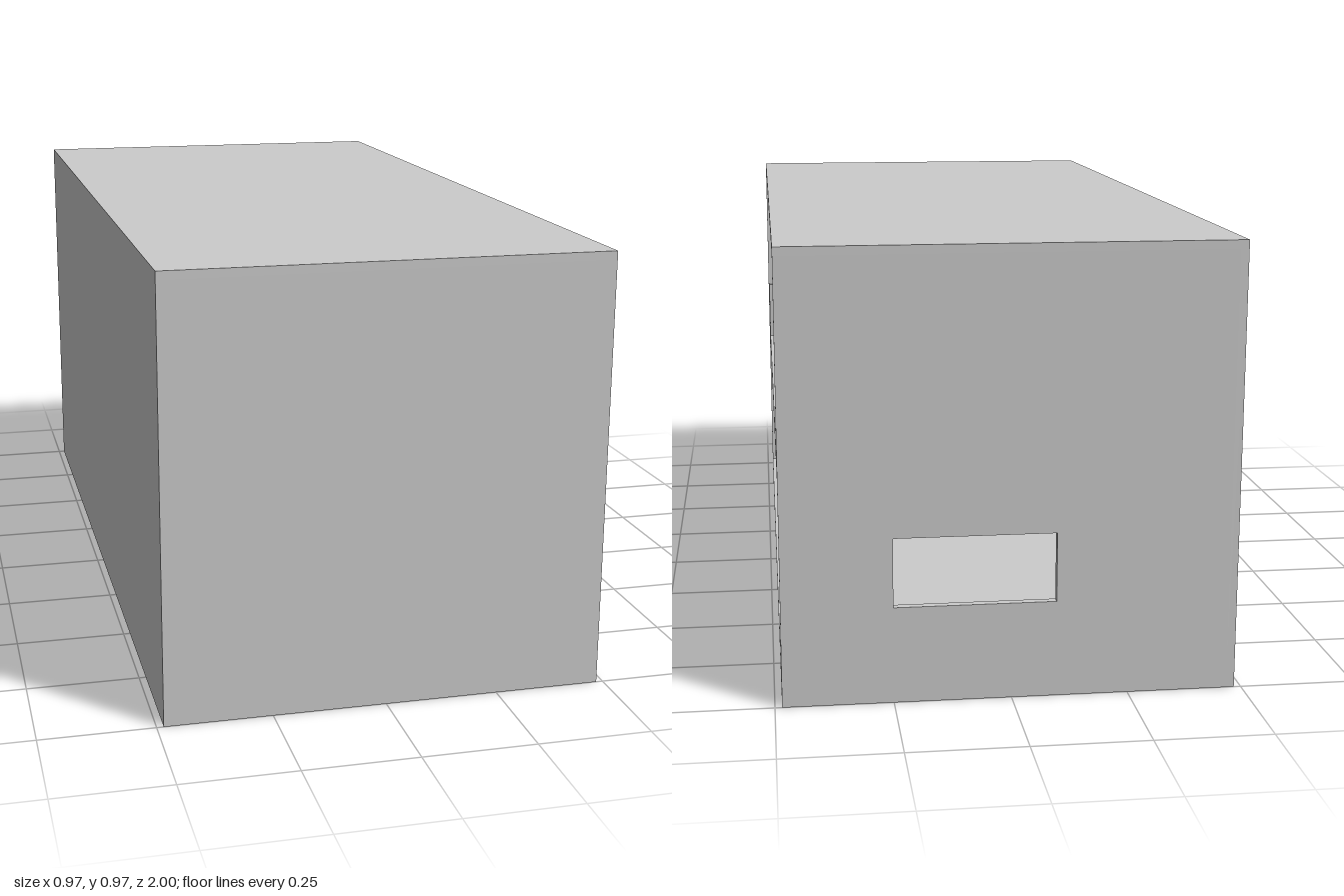
import * as THREE from 'three';

export function createModel() {
  const group = new THREE.Group();
  const material = new THREE.MeshStandardMaterial({ color: 0xcccccc, flatShading: true });

  // Box given by its minimum and maximum corners
  function box(name, [x0, y0, z0], [x1, y1, z1], parent = group) {
    const mesh = new THREE.Mesh(new THREE.BoxGeometry(x1 - x0, y1 - y0, z1 - z0), material);
    mesh.position.set((x0 + x1) / 2, (y0 + y1) / 2, (z0 + z1) / 2);
    mesh.name = name;
    parent.add(mesh);
    return mesh;
  }

  const X = 0.485, H = 0.97, T = 0.018;  // half width, height, wall thickness
  const wellX = -0.1, wellZ = 0.545;     // inner corner of the stairwell
  const floorY = 0.51, slabY = 0.482;    // top and underside of the upper floor

  // Shell, open on the +x side
  box('groundFloor', [-X, 0, -1], [X, T, 1]);
  box('roof', [-X, H - T, -1], [X, H, 1]);
  box('sideWall', [-X, T, -1], [-X + T, H - T, 1]);
  box('frontWall', [-X + T, T, 1 - T], [X, H - T, 1]);

  // Back wall with its window opening
  const wall = new THREE.Shape();
  wall.moveTo(-X + T, T).lineTo(X, T).lineTo(X, H - T).lineTo(-X + T, H - T).closePath();
  const hole = new THREE.Path();
  hole.moveTo(-0.095, 0.21).lineTo(-0.095, 0.36).lineTo(0.25, 0.36).lineTo(0.25, 0.21).closePath();
  wall.holes.push(hole);
  const backWall = new THREE.Mesh(
    new THREE.ExtrudeGeometry(wall, { depth: T, bevelEnabled: false }), material);
  backWall.position.z = -1;
  backWall.name = 'backWall';
  group.add(backWall);

  // Upper floor, leaving the stairwell open
  box('upperFloor', [-X + T, slabY, -1 + T], [X, floorY, wellZ]);
  box('upperFloorPassage', [-X + T, slabY, wellZ], [wellX, floorY, 1 - T]);

  // Landing and the flight of block steps down towards the back
  const step = 0.045, stairX = 0.392, stairZ = 0.845;
  box('landing', [wellX, floorY - step, stairZ], [stairX, floorY, 1 - T]);
  const stairs = new THREE.Group();
  stairs.name = 'stairs';
  group.add(stairs);
  for (let i = 0; i < 10; i++) {
    const top = floorY - step * (i + 1), z = stairZ - step * i;
    box('step', [wellX, top - step, z - step], [stairX, top, z], stairs);
  }

  // Railings around the stairwell: a top rail on posts
  const railY = 0.64, railTop = 0.66, d = 0.025;
  const across = new THREE.Group();
  across.name = 'stairwellBackRailing';
  group.add(across);
  box('topRail', [wellX - d, railY, wellZ - d], [X, railTop, wellZ], across);
  for (const [a, b] of [[wellX - d, wellX], [0.06, 0.1], [0.255, 0.295], [0.45, X]])
    box('post', [a, floorY, wellZ - d], [b, railY, wellZ], across);

  const along = new THREE.Group();
  along.name = 'stairwellSideRailing';
  group.add(along);
  box('topRail', [wellX - d, railY, wellZ], [wellX, railTop, 0.875], along);
  for (const [a, b] of [[0.705, 0.73], [0.86, 0.875]])
    box('post', [wellX - d, floorY, a], [wellX, railY, b], along);

  return group;
}
